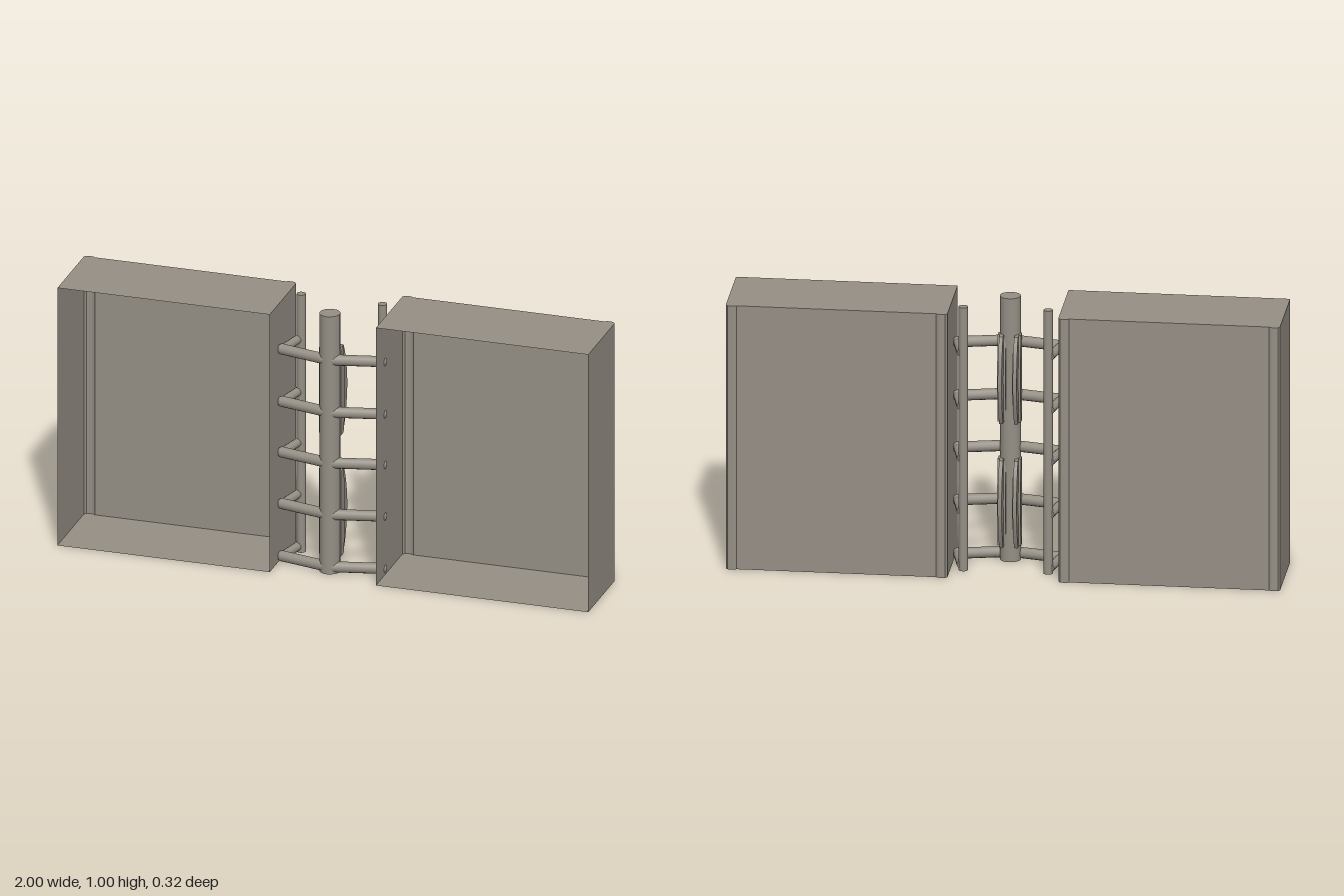
import * as THREE from 'three';

const stone = new THREE.MeshStandardMaterial({ color: 0x958f85 });
stone.name = 'warm grey';
const stoneSheet = new THREE.MeshStandardMaterial({ color: 0x958f85, side: THREE.DoubleSide });
stoneSheet.name = 'warm grey sheet';

function add(parent, name, geometry, material = stone) {
  const mesh = new THREE.Mesh(geometry, material);
  mesh.name = name;
  parent.add(mesh);
  return mesh;
}

// Cylinder running between two points
function rod(parent, name, a, b, radius, sides = 12) {
  const dir = b.clone().sub(a);
  const mesh = add(parent, name, new THREE.CylinderGeometry(radius, radius, dir.length(), sides));
  mesh.position.copy(a).add(b).multiplyScalar(0.5);
  mesh.quaternion.setFromUnitVectors(new THREE.Vector3(0, 1, 0), dir.normalize());
  return mesh;
}

// Open-fronted wall block: a folded sheet with raised corner ribs, capped above and below
function wallBlock() {
  const block = new THREE.Group();
  const rib = [[0.4, -0.148], [0.393, -0.158], [0.385, -0.16], [0.372, -0.16], [0.365, -0.158], [0.36, -0.154]];
  const plan = [[0.4, 0.157], ...rib, ...rib.map(([x, z]) => [-x, z]).reverse(), [-0.4, 0.157]];
  const pos = [];
  for (let i = 0; i < plan.length - 1; i++) {
    const [x0, z0] = plan[i], [x1, z1] = plan[i + 1];
    pos.push(x0, 0, z0, x1, 0, z1, x1, 1, z1, x0, 0, z0, x1, 1, z1, x0, 1, z0);
  }
  const sheet = new THREE.BufferGeometry();
  sheet.setAttribute('position', new THREE.Float32BufferAttribute(pos, 3));
  sheet.computeVertexNormals();
  add(block, 'ribbedWall', sheet, stoneSheet);
  const outline = new THREE.Shape(plan.map(([x, z]) => new THREE.Vector2(x, -z)));
  for (const [name, y] of [['topSlab', 1], ['bottomSlab', 0]]) {
    const cap = new THREE.ShapeGeometry(outline).rotateX(-Math.PI / 2);
    add(block, name, cap, stoneSheet).position.y = y;
  }
  return block;
}

// Bowed plate: straight front edge, curved back edge, extruded across x
function bowedPlate(width, front, back, ends, length) {
  const s = new THREE.Shape();
  s.moveTo(-front, 0);
  s.lineTo(-ends, 0);
  s.quadraticCurveTo(-(2 * back - ends), length / 2, -ends, length);
  s.lineTo(-front, length);
  s.closePath();
  return new THREE.ExtrudeGeometry(s, { depth: width, bevelEnabled: false, curveSegments: 12 })
    .translate(0, 0, -width / 2).rotateY(Math.PI / 2);
}

export function createModel() {
  const model = new THREE.Group();
  model.name = 'gateWithHandles';

  for (const side of [-1, 1]) {
    const block = wallBlock();
    block.name = side > 0 ? 'leftWallBlock' : 'rightWallBlock';
    block.position.x = side * 0.6;
    model.add(block);

    // Rear upright joining the rung ends
    rod(model, 'rearUpright', new THREE.Vector3(side * 0.153, 0, -0.064),
      new THREE.Vector3(side * 0.153, 1, -0.064), 0.017);
  }

  // Central front post
  rod(model, 'centrePost', new THREE.Vector3(0, 0, 0.075), new THREE.Vector3(0, 1, 0.075), 0.038, 16);

  // Bent rungs
  for (const y of [0.022, 0.225, 0.425, 0.622, 0.825]) {
    const rung = new THREE.Group();
    rung.name = 'rung';
    const middle = new THREE.Vector3(0, y, 0.093);
    for (const side of [-1, 1]) {
      const elbow = new THREE.Vector3(side * 0.187, y, 0.05);
      rod(rung, 'rungBar', middle, elbow, 0.02);
      rod(rung, 'rungReturn', elbow, new THREE.Vector3(side * 0.16, y, -0.068), 0.016);
      add(rung, 'elbow', new THREE.SphereGeometry(0.02, 12, 8)).position.copy(elbow);
    }
    model.add(rung);
  }

  // Two pairs of bowed handles behind the post
  for (const y of [0.06, 0.53]) {
    for (const side of [-1, 1]) {
      const base = add(model, 'handleBase', bowedPlate(0.03, 0.075, 0.028, 0.045, 0.33));
      base.position.set(side * 0.027, y, 0);
      const fin = add(model, 'handleFin', bowedPlate(0.014, 0.05, -0.022, 0.02, 0.33));
      fin.position.set(side * 0.027, y, 0);
    }
  }
  return model;
}
